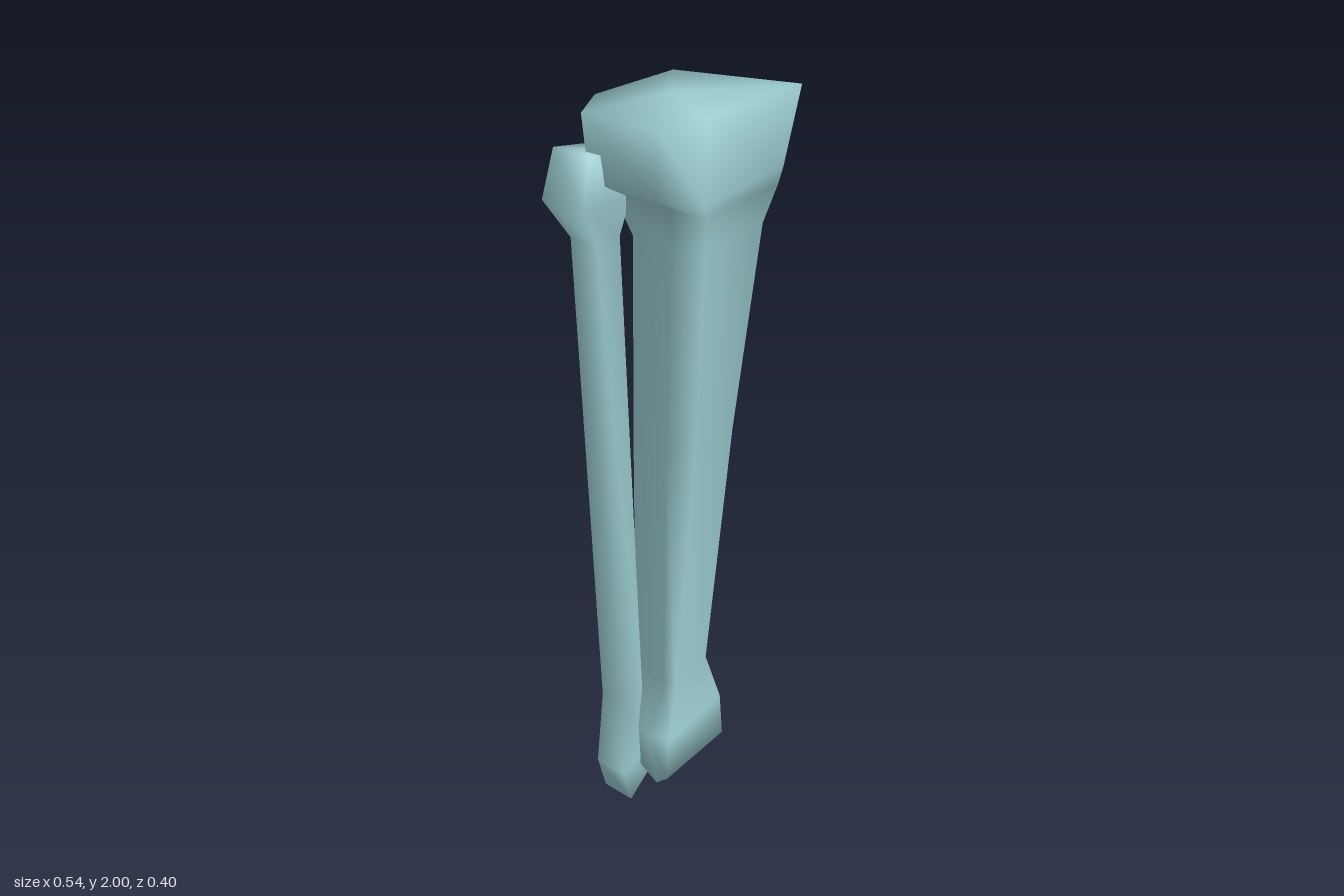
import * as THREE from 'three';

const material = new THREE.MeshStandardMaterial({ color: 0x9ccdd0 });

// Skins a stack of [x, y, z] rings, ordered top to bottom, and closes both ends.
function loft(name, rings, topCentre, bottomCentre) {
  const n = rings[0].length;
  const positions = [...rings.flat(2), ...topCentre, ...bottomCentre];
  const top = rings.length * n, bottom = top + 1;
  const index = [];
  for (let j = 0; j < n; j++) {
    const k = (j + 1) % n;
    for (let i = 0; i < rings.length - 1; i++) {
      const a = i * n + j, b = i * n + k;
      index.push(a, b, a + n, b, b + n, a + n);
    }
    const last = (rings.length - 1) * n;
    index.push(top, k, j, bottom, last + j, last + k);
  }
  const geometry = new THREE.BufferGeometry();
  geometry.setAttribute('position', new THREE.Float32BufferAttribute(positions, 3));
  geometry.setIndex(index);
  geometry.computeVertexNormals();
  const mesh = new THREE.Mesh(geometry, material);
  mesh.name = name;
  return mesh;
}

// Four-cornered ring; yOuter and yInner tilt it from side to side.
const boxRing = (yOuter, yInner, x0, x1, z0, z1) => [
  [x0, yOuter, z0], [x1, yInner, z0], [x1, yInner, z1], [x0, yOuter, z1],
];

export function createModel() {
  const group = new THREE.Group();
  group.name = 'lowerLegBones';

  // Large shin bone. Corners: back outer, back, back inner, front inner, front, front outer.
  const shinRings = [
    // flared plateau
    [[-0.195, 1.975, -0.105], [-0.05, 1.97, -0.193], [0.255, 1.965, -0.2], [0.27, 1.995, 0.19], [-0.11, 2, 0.2], [-0.195, 1.975, 0.125]],
    [[-0.19, 1.81, -0.09], [-0.05, 1.8, -0.155], [0.21, 1.8, -0.155], [0.22, 1.8, 0.18], [-0.11, 1.79, 0.197], [-0.19, 1.81, 0.12]],
    // notch under the outer lip
    [[-0.12, 1.77, -0.08], [-0.05, 1.76, -0.13], [0.19, 1.76, -0.125], [0.2, 1.76, 0.18], [-0.1, 1.76, 0.194], [-0.125, 1.77, 0.11]],
    // tapering shaft
    [[-0.115, 1.67, -0.02], [-0.04, 1.66, -0.048], [0.15, 1.66, -0.05], [0.155, 1.67, 0.17], [-0.09, 1.67, 0.185], [-0.115, 1.67, 0.1]],
    [[-0.112, 1.1, -0.03], [-0.06, 1.1, -0.045], [0.1, 1.1, -0.045], [0.105, 1.1, 0.13], [-0.08, 1.1, 0.15], [-0.112, 1.1, 0.08]],
    [[-0.11, 0.35, -0.035], [-0.08, 0.35, -0.06], [0.055, 0.35, -0.06], [0.055, 0.35, 0.09], [-0.095, 0.35, 0.1], [-0.11, 0.35, 0.07]],
    // widened ankle end
    [[-0.16, 0.21, -0.06], [-0.1, 0.21, -0.105], [0.095, 0.19, -0.11], [0.1, 0.19, 0.11], [-0.17, 0.21, 0.14], [-0.19, 0.21, 0.08]],
    [[-0.17, 0.12, -0.06], [-0.1, 0.12, -0.122], [0.105, 0.09, -0.11], [0.115, 0.04, 0.11], [-0.18, 0.075, 0.14], [-0.215, 0.08, 0.13]],
  ];
  group.add(loft('shinBone', shinRings, [0.01, 2, 0], [-0.02, 0.085, 0.01]));

  // Slender outer bone: knobbed head, straight shaft, pointed ankle tip
  const outerRings = [
    boxRing(1.89, 1.87, -0.23, -0.11, -0.165, -0.05),
    boxRing(1.77, 1.77, -0.27, -0.1, -0.17, -0.035),
    boxRing(1.67, 1.67, -0.218, -0.135, -0.13, -0.045),
    boxRing(0.3, 0.3, -0.215, -0.137, -0.07, 0.012),
    boxRing(0.1, 0.14, -0.265, -0.16, -0.05, 0.05),
    boxRing(0, 0.065, -0.247, -0.155, -0.038, 0.06),
  ];
  group.add(loft('outerBone', outerRings, [-0.17, 1.88, -0.11], [-0.2, 0.03, 0.01]));

  return group;
}
